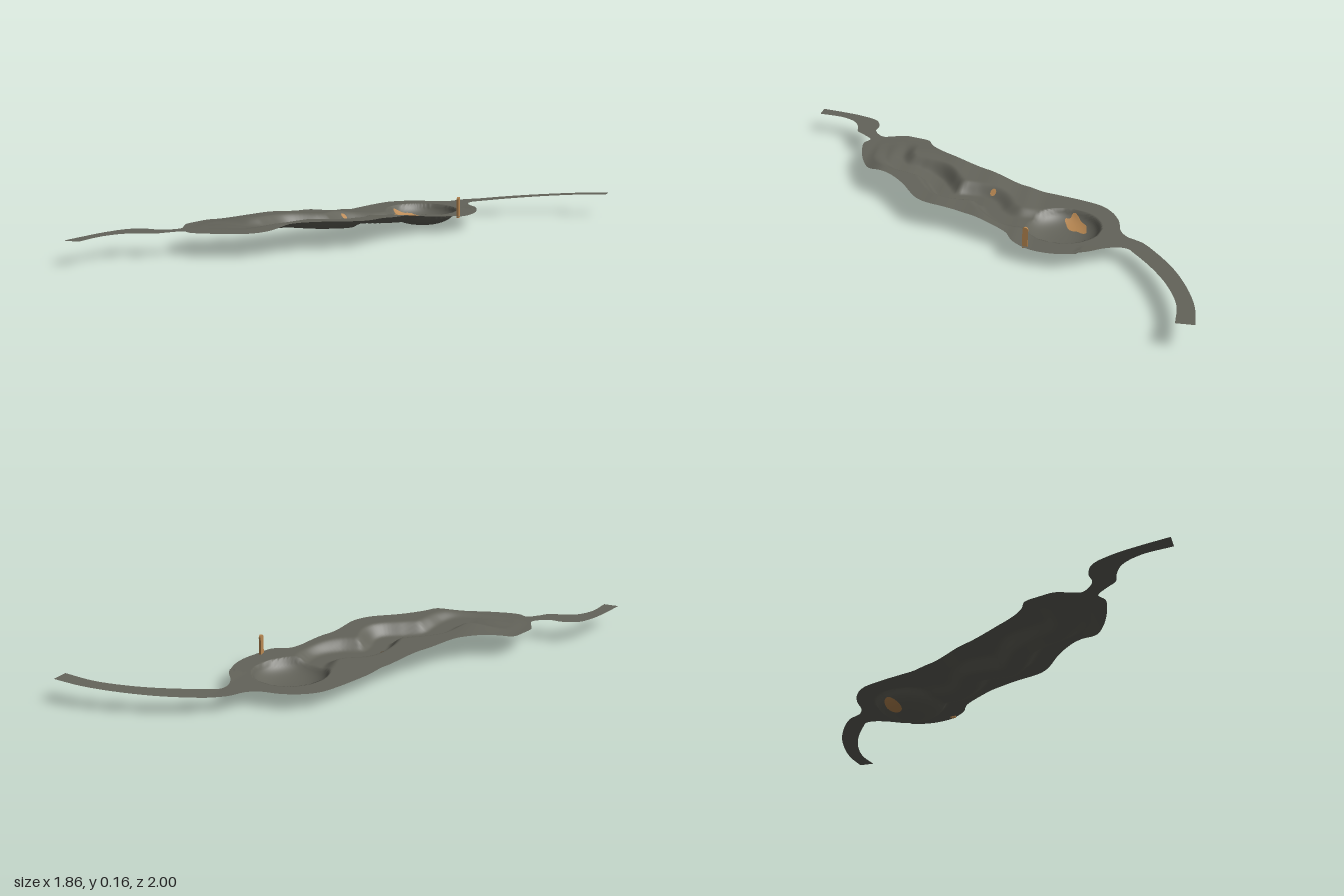
import * as THREE from 'three';

const stone = new THREE.MeshStandardMaterial({ name: 'grey stone', color: 0x63635a, side: THREE.DoubleSide });
const tan = new THREE.MeshStandardMaterial({ name: 'tan wood', color: 0xb98852, side: THREE.DoubleSide });

// paired outline points, left edge x,z then right edge x,z, from front tail to back tail
const EDGES = [
  [-0.93, 1.0, -0.86, 1.0], [-0.9, 0.87, -0.835, 0.87], [-0.87, 0.77, -0.785, 0.79],
  [-0.82, 0.68, -0.72, 0.755], [-0.75, 0.65, -0.665, 0.74], [-0.685, 0.65, -0.62, 0.69],
  [-0.62, 0.595, -0.575, 0.65], [-0.63, 0.55, -0.53, 0.67], [-0.65, 0.49, -0.43, 0.655],
  [-0.635, 0.42, -0.3, 0.61], [-0.61, 0.355, -0.2, 0.55], [-0.55, 0.325, -0.13, 0.44],
  [-0.48, 0.27, -0.05, 0.36], [-0.4, 0.17, 0.08, 0.265], [-0.36, 0.1, 0.12, 0.2],
  [-0.3, -0.02, 0.15, 0.06], [-0.24, -0.14, 0.2, -0.06], [-0.2, -0.24, 0.26, -0.17],
  [-0.165, -0.36, 0.34, -0.22], [-0.13, -0.47, 0.39, -0.32], [-0.09, -0.56, 0.4, -0.42],
  [-0.03, -0.615, 0.37, -0.53], [0.05, -0.65, 0.315, -0.61], [0.14, -0.665, 0.295, -0.67],
  [0.19, -0.695, 0.305, -0.71], [0.24, -0.77, 0.34, -0.735], [0.42, -0.885, 0.46, -0.81],
  [0.6, -0.955, 0.61, -0.88], [0.78, -0.995, 0.78, -0.925], [0.93, -1.0, 0.93, -0.925],
];
const SLOPE = [[-1, 0.07], [-0.3, 0.07], [-0.2, 0.08], [0, 0.105], [0.2, 0.12], [0.48, 0.13], [0.62, 0.1], [1, 0.1]];
const DEPTH = [[-1, 0], [-0.45, 0], [-0.2, 0.03], [0, 0.05], [0.2, 0.055], [0.4, 0.035], [0.56, 0.02], [0.62, 0]];
const CHANNEL = new THREE.CatmullRomCurve3([
  [0.08, -0.36], [0.1, -0.18], [0.04, -0.1], [-0.06, -0.04], [-0.07, 0.05], [-0.06, 0.13],
  [-0.14, 0.19], [-0.23, 0.25], [-0.26, 0.33], [-0.29, 0.42], [-0.36, 0.47], [-0.5, 0.49],
].map(([x, z]) => new THREE.Vector3(x, 0, z))).getPoints(90);
const BOWL = { x: 0.135, z: -0.41, r: 0.165, drop: 0.07 };

const smooth = THREE.MathUtils.smoothstep;

function lookup(table, t) {
  for (let i = 1; i < table.length; i++) {
    const [a, va] = table[i - 1], [b, vb] = table[i];
    if (t <= b) return THREE.MathUtils.lerp(va, vb, smooth(t, a, b));
  }
  return table[table.length - 1][1];
}

// ground height: slope, minus winding channel, minus round bowl
function height(x, z) {
  let y = lookup(SLOPE, z);
  if (y > 0.1) y = THREE.MathUtils.lerp(0.1, y, smooth(x, -0.62, -0.38));
  if (x > 0.3 && z < -0.5) y += 0.04 * (x - 0.3) / 0.63;
  let d = 9;
  for (const p of CHANNEL) d = Math.min(d, Math.hypot(p.x - x, p.z - z));
  y -= lookup(DEPTH, z) * (1 - smooth(d, 0.035, 0.105)) * smooth(x, -0.6, -0.35);
  const r = Math.hypot(x - BOWL.x, z - BOWL.z) / BOWL.r;
  if (r < 1) y = Math.min(y, 0.07 - BOWL.drop * Math.pow(1 - Math.pow(r, 2.6), 0.6));
  return y;
}

// surface from point(u, v) on a grid
function gridSurface(point, rows, cols) {
  const pos = [], index = [];
  for (let i = 0; i <= rows; i++)
    for (let j = 0; j <= cols; j++) pos.push(...point(i / rows, j / cols));
  for (let i = 0; i < rows; i++)
    for (let j = 0; j < cols; j++) {
      const a = i * (cols + 1) + j, c = a + cols + 1;
      index.push(a, a + 1, c, a + 1, c + 1, c);
    }
  const g = new THREE.BufferGeometry();
  g.setAttribute('position', new THREE.Float32BufferAttribute(pos, 3));
  g.setIndex(index);
  g.computeVertexNormals();
  return g;
}

// painted patch that follows the ground
function patch(name, x, z, long, wide, turn, wobble, lift) {
  const g = gridSurface((u, v) => {
    const a = v * Math.PI * 2, k = u * (1 + wobble * Math.sin(a * 5) + wobble * Math.cos(a * 3));
    const p = Math.cos(a) * long * k, q = Math.sin(a) * wide * k;
    const px = x + p * Math.cos(turn) + q * Math.sin(turn);
    const pz = z - p * Math.sin(turn) + q * Math.cos(turn);
    return [px, height(px, pz) + lift, pz];
  }, 5, 32);
  const m = new THREE.Mesh(g, tan);
  m.name = name;
  return m;
}

export function createModel() {
  const group = new THREE.Group();
  group.name = 'windingCourse';

  // ground sheet with both tails
  const side = k => new THREE.CatmullRomCurve3(EDGES.map(e => new THREE.Vector3(e[k], 0, e[k + 1])));
  const left = side(0), right = side(2);
  const ground = new THREE.Mesh(gridSurface((u, v) => {
    const p = left.getPoint(u).lerp(right.getPoint(u), v);
    return [p.x, height(p.x, p.z), p.z];
  }, (EDGES.length - 1) * 9, 72), stone);
  ground.name = 'ground';
  group.add(ground);

  // tan patches in the bowl and on the channel wall
  group.add(patch('bowlPatch', 0.035, -0.46, 0.065, 0.032, 0.8, 0.12, 0.003));
  group.add(patch('bowlUnderPatch', 0.035, -0.46, 0.045, 0.04, 0, 0, -0.003));
  group.add(patch('wallSpot', -0.126, -0.055, 0.014, 0.014, 0, 0, 0.003));

  // marker post with rounded top
  const s = new THREE.Shape();
  s.moveTo(-0.012, 0);
  s.lineTo(0.012, 0);
  s.lineTo(0.012, 0.085);
  s.absarc(0, 0.085, 0.012, 0, Math.PI, false);
  const post = new THREE.Mesh(new THREE.ExtrudeGeometry(s, { depth: 0.01, bevelEnabled: false }), tan);
  post.name = 'markerPost';
  post.rotation.y = Math.PI / 2;
  post.position.set(0.352, 0.064, -0.275);
  group.add(post);
  return group;
}
